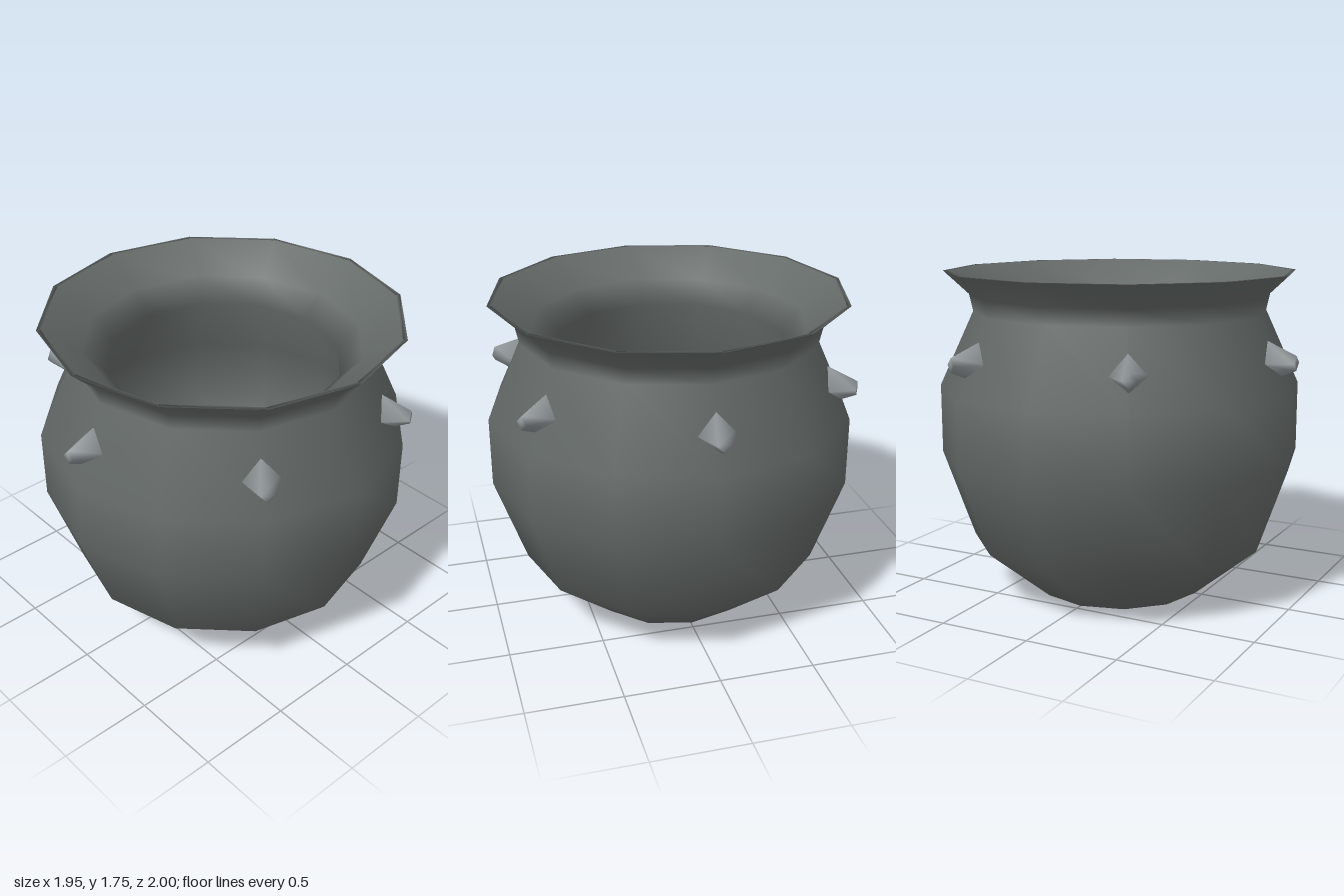
import * as THREE from 'three';
import { mergeVertices } from 'three/addons/utils/BufferGeometryUtils.js';

const SIDES = 12;
const STUDS = 6;

// Profile: underside, outer wall, flared rim, then down the inside to the floor
const PROFILE = [
  [0, 0], [0.46, 0], [0.81, 0.29], [0.975, 0.76], [0.975, 1.13], [0.79, 1.53],
  [0.81, 1.62], [0.945, 1.745], [0.92, 1.745], [0.73, 1.6], [0.62, 1.48],
  [0.8, 1.12], [0.82, 0.78], [0.68, 0.38], [0.4, 0.14], [0, 0.14],
].map(([r, y]) => new THREE.Vector2(r, y));

// Blunt four-sided stud pointing along +z, with normals smoothed over its edges
function studGeometry(inner, outer) {
  const length = outer - inner;
  const g = new THREE.CylinderGeometry(0.038, 0.038 + length * 0.43, length, 4);
  g.rotateX(Math.PI / 2);
  g.translate(0, 0, (inner + outer) / 2);
  g.deleteAttribute('normal');
  g.deleteAttribute('uv');
  const smooth = mergeVertices(g, 1e-4);
  smooth.computeVertexNormals();
  return smooth;
}

export function createModel() {
  const iron = new THREE.MeshStandardMaterial({ color: 0x646a68 });
  iron.name = 'dark iron';
  const steel = new THREE.MeshStandardMaterial({ color: 0x8f9598 });
  steel.name = 'pale steel';

  const model = new THREE.Group();
  model.name = 'cauldron';

  // Pot body
  const pot = new THREE.Mesh(new THREE.LatheGeometry(PROFILE, SIDES), iron);
  pot.name = 'pot';
  model.add(pot);

  // Ring of studs around the shoulder
  const studs = new THREE.Group();
  studs.name = 'studs';
  const geometry = studGeometry(0.83, 1.0);
  for (let i = 0; i < STUDS; i++) {
    const stud = new THREE.Mesh(geometry, steel);
    stud.name = 'stud';
    stud.position.y = 1.31;
    stud.rotation.y = (i / STUDS) * Math.PI * 2;
    studs.add(stud);
  }
  model.add(studs);

  return model;
}
